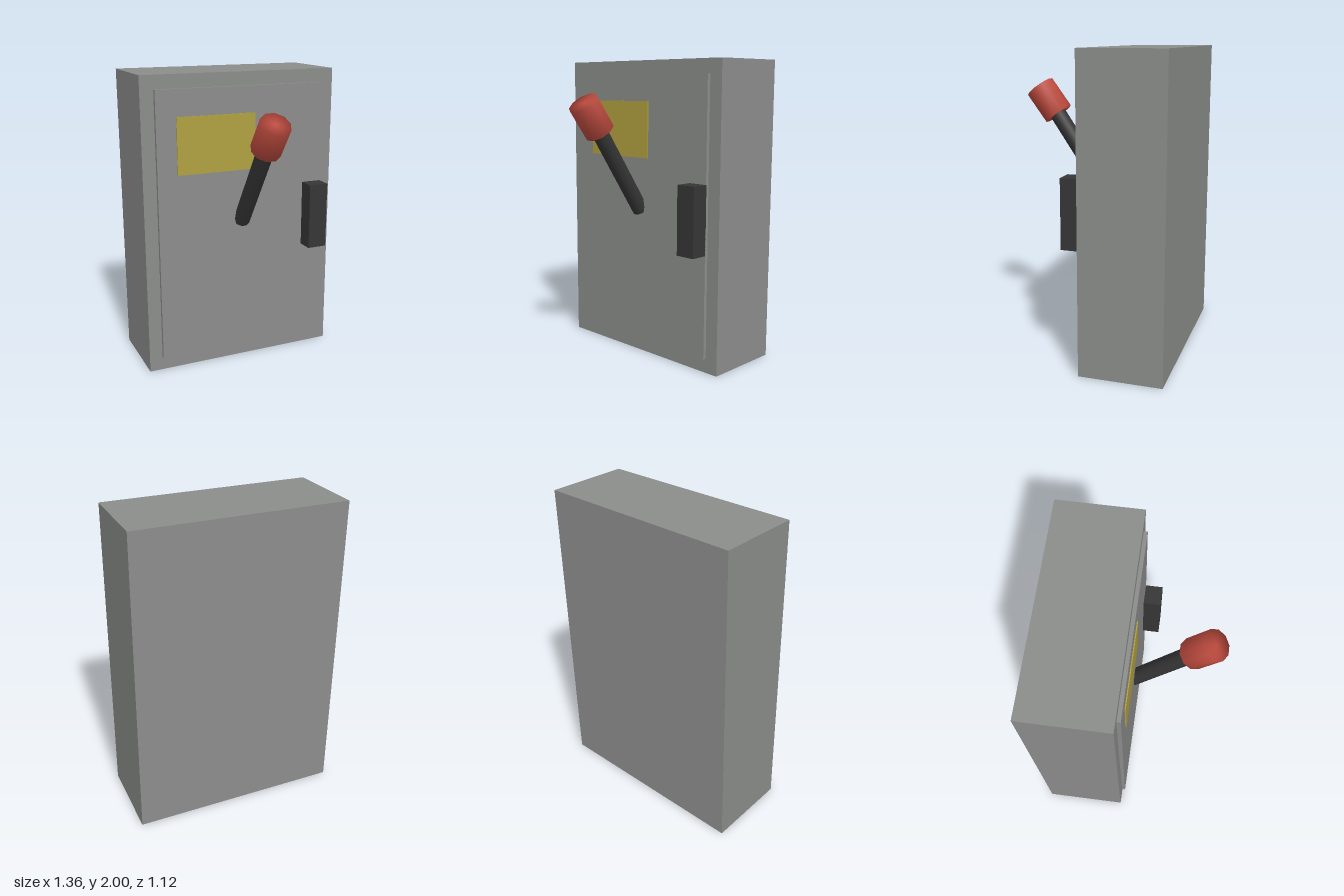
import * as THREE from 'three';
import { mergeVertices } from 'three/addons/utils/BufferGeometryUtils.js';

const paint = (name, color) => {
  const m = new THREE.MeshStandardMaterial({ color });
  m.name = name;
  return m;
};

export function createModel() {
  const grey = paint('cabinetGrey', 0x8b8d8b);
  const yellow = paint('labelYellow', 0xb0a040);
  const black = paint('leverBlack', 0x363636);
  const red = paint('gripRed', 0xbc4a3e);

  const model = new THREE.Group();
  model.name = 'switchCabinet';

  const add = (name, geometry, material) => {
    const mesh = new THREE.Mesh(geometry, material);
    mesh.name = name;
    model.add(mesh);
    return mesh;
  };

  // Box given by its lower and upper corners
  const box = (name, material, [x0, y0, z0], [x1, y1, z1]) =>
    add(name, new THREE.BoxGeometry(x1 - x0, y1 - y0, z1 - z0), material)
      .position.set((x0 + x1) / 2, (y0 + y1) / 2, (z0 + z1) / 2);

  // Ten-sided rod with corners on the x axis
  const rod = (radius, length) =>
    new THREE.CylinderGeometry(radius, radius, length, 10).rotateY(Math.PI / 2);

  // Cabinet, raised door, label plate and door handle
  box('cabinet', grey, [-0.68, 0, -0.56], [0.68, 2, -0.02]);
  box('door', grey, [-0.59, 0.095, -0.03], [0.59, 1.91, 0.004]);
  box('labelPlate', yellow, [-0.455, 1.36, 0.002], [0.09, 1.735, 0.011]);
  box('doorHandle', black, [0.455, 0.78, 0], [0.59, 1.23, 0.118]);

  // Lever shaft leaning out of the door, base sunk slightly into it
  const shaft = add('leverShaft', rod(0.055, 0.72).translate(0, 0.36, 0), black);
  shaft.position.set(0, 1.005, -0.012);
  shaft.rotation.x = 0.594;

  // Lever grip with normals blended over the rim
  const gripShape = rod(0.1, 0.222);
  gripShape.deleteAttribute('normal');
  gripShape.deleteAttribute('uv');
  const gripGeometry = mergeVertices(gripShape);
  gripGeometry.computeVertexNormals();
  const grip = add('leverGrip', gripGeometry, red);
  grip.position.set(0, 1.64, 0.419);
  grip.rotation.x = 0.637;

  return model;
}
